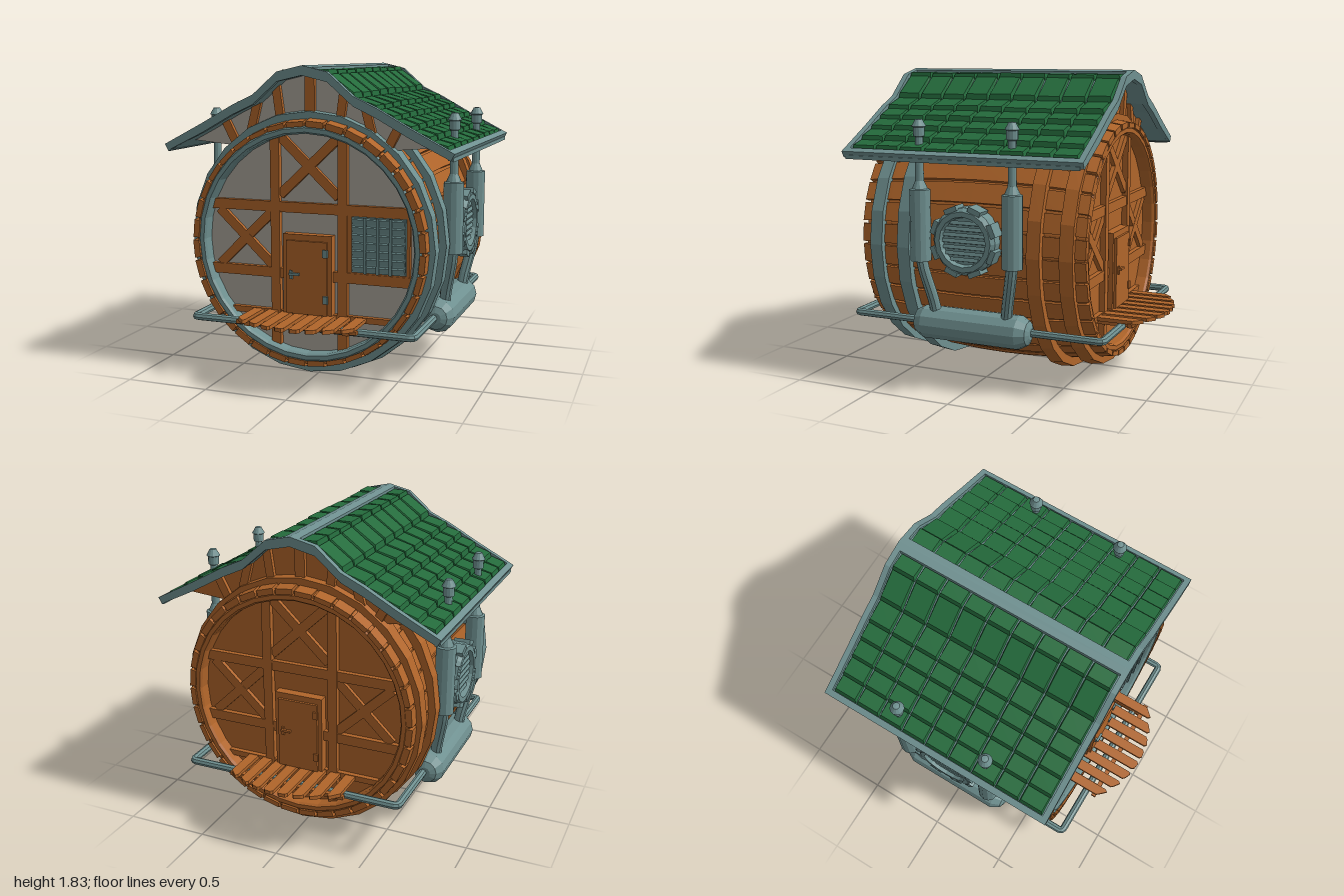
import * as THREE from 'three';

const mat = (color) => new THREE.MeshStandardMaterial({ color, flatShading: true, side: THREE.DoubleSide });
const WOOD = mat(0xb0652a), METAL = mat(0x6f9090), TILE = mat(0x246b3c), PLASTER = mat(0xaaa49a);
const CY = 0.82; // height of the barrel axis

function add(parent, name, geo, material, x = 0, y = 0, z = 0) {
  const g = geo.index ? geo.toNonIndexed() : geo;
  g.computeVertexNormals();
  const m = new THREE.Mesh(g, material);
  m.name = name;
  m.position.set(x, y, z);
  parent.add(m);
  return m;
}
const box = (p, name, m, w, h, d, x, y, z) => add(p, name, new THREE.BoxGeometry(w, h, d), m, x, y, z);

// Move every vertex of a geometry by a rule
function warp(geo, rule) {
  const p = geo.attributes.position;
  for (let i = 0; i < p.count; i++) p.setXYZ(i, ...rule(p.getX(i), p.getY(i), p.getZ(i)));
  return geo;
}
// Bar in the facade plane from one point to another
function beam(p, m, x0, y0, x1, y1, w, z, d, name = 'beam') {
  const b = box(p, name, m, Math.hypot(x1 - x0, y1 - y0), w, d, (x0 + x1) / 2, (y0 + y1) / 2, z);
  b.rotation.z = Math.atan2(y1 - y0, x1 - x0);
}
const lathe = (pts, n) => new THREE.LatheGeometry(pts.map((a) => new THREE.Vector2(...a)), n);

// Bulging barrel: a piece between two angles, two offsets from the surface and two z
function barrelPiece(a0, a1, in_, out, z0, z1, segA, segZ) {
  return warp(new THREE.BoxGeometry(1, 1, 1, segA, 1, segZ), (u, v, w) => {
    const a = a0 + (a1 - a0) * (u + 0.5), z = z0 + (z1 - z0) * (w + 0.5), k = (z / 0.7) ** 2;
    const r = 0.785 - 0.07 * k + (v > 0 ? out : in_);
    return [(0.915 + 0.08 * k) * r * Math.sin(a), CY + r * Math.cos(a), z];
  });
}

function buildBarrel(root) {
  const g = new THREE.Group();
  g.name = 'barrel';
  root.add(g);
  const n = 36, step = (Math.PI * 2) / n;
  add(g, 'barrelLining', barrelPiece(0, Math.PI * 2, -0.035, -0.018, -0.69, 0.69, n, 8), WOOD);
  for (let i = 0; i < n; i++) {
    const j = Math.sin(i * 12.9) * 0.006, a = i * step;
    add(g, 'stave', barrelPiece(a + 0.012, a + step - 0.012, -0.034, j, -0.707 + j, 0.707 + j, 1, 8), WOOD);
  }
  for (const s of [1, -1])
    for (const [c, lift] of [[0.6, 0.036], [0.41, 0.048]])
      add(g, 'hoop', barrelPiece(0, Math.PI * 2, -0.01, lift, s * c - 0.04, s * c + 0.04, 24, 1), s > 0 ? METAL : WOOD);
}

// Roof line, mirrored about x = 0
const LINE = [[0, 1.84], [0.15, 1.805], [0.3, 1.675], [0.43, 1.615], [0.62, 1.51], [0.87, 1.38]];
function roofY(x) {
  let i = 1;
  while (i < LINE.length - 1 && x > LINE[i][0]) i++;
  const [a, b] = [LINE[i - 1], LINE[i]];
  return a[1] + ((x - a[0]) / (b[0] - a[0])) * (b[1] - a[1]);
}
// Solid strip that follows the roof line
function strip(p, name, x0, x1, top, bottom, z0, z1) {
  const xs = [x0, ...LINE.map((q) => q[0]).filter((x) => x > x0 && x < x1), x1];
  const s = new THREE.Shape();
  xs.forEach((x, i) => s[i ? 'lineTo' : 'moveTo'](x, roofY(x) + top));
  xs.reverse().forEach((x) => s.lineTo(x > 0.86 ? x - 0.02 : x, roofY(x) + bottom + (x > 0.86 ? 0.018 : 0)));
  add(p, name, new THREE.ExtrudeGeometry(s, { depth: z1 - z0, bevelEnabled: false }), METAL, 0, 0, z0);
}

function buildRoof(root) {
  const cols = [0.05, 0.15, 0.3, 0.43, 0.53, 0.63, 0.735, 0.832], rows = 9, dz = 1.4 / rows;
  for (const turn of [0, Math.PI]) {
    const g = new THREE.Group();
    g.name = 'roofHalf';
    g.rotation.y = turn;
    root.add(g);
    strip(g, 'roofSlab', 0, 0.86, -0.028, -0.05, -0.72, 0.72);
    strip(g, 'ridgeTrim', 0, 0.045, 0, -0.05, -0.74, 0.74);
    strip(g, 'eaveTrim', 0.835, 0.87, 0, -0.055, -0.74, 0.74);
    for (const z of [-0.74, 0.705]) strip(g, 'bargeTrim', 0, 0.87, 0, -0.055, z, z + 0.035);
    // Shingles: raised along their lower edge, with bevelled sides
    for (let c = 0; c < cols.length - 1; c++)
      for (let r = 0; r < rows; r++) {
        const j = 0.004 * Math.sin(c * 7 + r * 5);
        add(g, 'shingle', warp(new THREE.BoxGeometry(1, 1, 1), (u, v, w) => {
          const up = v > 0, x = u < 0 ? cols[c] : cols[c + 1] - (up ? 0.012 : 0);
          return [x, roofY(x) + (up ? (u < 0 ? -0.012 : 0.008 + j) : -0.04),
            -0.7 + dz * (r + 0.5 + w * (up ? 0.86 : 1))];
        }), TILE);
      }
  }
}

function buildFacade(root, front) {
  const g = new THREE.Group();
  g.name = front ? 'frontFacade' : 'backFacade';
  g.rotation.y = front ? 0 : Math.PI;
  root.add(g);
  const wall = front ? PLASTER : WOOD, metal = front ? METAL : WOOD;

  // Round wall with its rim
  add(g, 'wall', new THREE.CylinderGeometry(0.66, 0.66, 0.04, 32).rotateX(Math.PI / 2), wall, 0, CY, 0.6);
  add(g, 'rim', lathe([[0.69, 0.6], [0.69, 0.685], [0.675, 0.7], [0.65, 0.7], [0.64, 0.685], [0.64, 0.6]], 32)
    .rotateX(Math.PI / 2), metal, 0, CY, 0);

  // Timber frame
  const z = 0.625, d = 0.05;
  for (const s of [-1, 1]) beam(g, WOOD, s * 0.207, 0.2, s * 0.207, 1.44, 0.056, z + 0.005, d);
  for (const [y, x, w] of [[1.03, 0.61, 0.06], [0.64, 0.62, 0.06], [0.4, 0.49, 0.035]]) beam(g, WOOD, -x, y, x, y, w, z, d);
  for (const s of [-1, 1]) {
    beam(g, WOOD, -s * 0.18, 1.1, s * 0.18, 1.44, 0.055, z, d - 0.01, 'brace');
    if (s > 0 && front) continue;
    beam(g, WOOD, s * 0.57, 1.0, s * 0.23, 0.68, 0.055, z, d - 0.01, 'brace');
    beam(g, WOOD, s * 0.23, 1.0, s * 0.57, 0.67, 0.055, z, d - 0.014, 'brace');
  }

  // Door
  box(g, 'doorFrame', WOOD, 0.3, 0.47, 0.07, 0, 0.645, 0.64);
  box(g, 'doorLeaf', WOOD, 0.25, 0.43, 0.03, 0, 0.63, 0.675);
  for (const y of [0.78, 0.51]) box(g, 'hinge', metal, 0.03, 0.045, 0.015, 0.117, y, 0.692);
  box(g, 'handlePlate', metal, 0.018, 0.05, 0.012, -0.093, 0.645, 0.693);
  box(g, 'handle', metal, 0.06, 0.014, 0.015, -0.07, 0.652, 0.705);

  // Shuttered window
  if (front) {
    box(g, 'windowFrame', WOOD, 0.37, 0.4, 0.04, 0.42, 0.845, 0.625);
    box(g, 'windowPanel', METAL, 0.32, 0.32, 0.03, 0.425, 0.84, 0.645);
    for (let i = 0; i < 7; i++) box(g, 'slat', METAL, 0.31, 0.03, 0.015, 0.425, 0.705 + i * 0.045, 0.664).rotation.x = 0.3;
    for (const x of [-0.075, 0, 0.075]) box(g, 'windowBar', METAL, 0.016, 0.32, 0.015, 0.425 + x, 0.84, 0.675);
  }

  // Gable between barrel and roof
  const s = new THREE.Shape();
  const top = [...LINE.slice(0, 5), [0.76, 1.437]].map(([x, y]) => [x, y - 0.04]);
  s.moveTo(...top[5]);
  for (let i = 4; i >= 0; i--) s.lineTo(...top[i]);
  for (let i = 1; i < 6; i++) s.lineTo(-top[i][0], top[i][1]);
  for (let i = -5; i <= 5; i++) s.lineTo(0.72 * Math.sin(i * 0.14), CY + 0.72 * Math.cos(i * 0.14));
  add(g, 'gable', new THREE.ExtrudeGeometry(s, { depth: 0.03, bevelEnabled: false }), wall, 0, 0, 0.57);
  beam(g, WOOD, 0, 1.5, 0, 1.79, 0.06, 0.605, 0.04, 'gablePost');
  for (const k of [-1, 1])
    for (const [x0, y0, x1, y1] of [[0.175, 1.48, 0.21, 1.735], [0.38, 1.42, 0.325, 1.63], [0.44, 1.34, 0.53, 1.515]])
      beam(g, WOOD, k * x0, y0, k * x1, y1, 0.05, 0.605, 0.04, 'gablePost');

  // Porch with rounded outline
  const end = (x) => 1 - x * x;
  for (const c of [-0.32, -0.225, -0.135, -0.045, 0.045, 0.135, 0.225, 0.32]) {
    const a = c - 0.031, b = c + 0.031, p = new THREE.Shape();
    p.moveTo(a, 0.62);
    p.lineTo(b, 0.62);
    p.lineTo(b, end(b) - 0.015);
    p.lineTo(b - 0.012, end(b));
    p.lineTo(a + 0.012, end(a));
    p.lineTo(a, end(a) - 0.015);
    add(g, 'porchPlank', new THREE.ExtrudeGeometry(p, { depth: 0.022, bevelEnabled: false }).rotateX(Math.PI / 2), WOOD, 0, 0.414, 0);
  }
  box(g, 'porchCrossBeam', WOOD, 0.73, 0.022, 0.03, 0, 0.386, 0.85);
  for (const x of [-0.3, 0.3]) box(g, 'porchBracket', WOOD, 0.035, 0.03, 0.26, x, 0.38, 0.73);

  // Rail that runs out of one tank and into the other
  const path = new THREE.CurvePath(), V = (x, zz) => new THREE.Vector3(x, 0.37, zz);
  path.add(new THREE.LineCurve3(V(-0.67, 0.34), V(-0.67, 0.765)));
  path.add(new THREE.QuadraticBezierCurve3(V(-0.67, 0.765), V(-0.67, 0.79), V(-0.645, 0.79)));
  path.add(new THREE.LineCurve3(V(-0.645, 0.79), V(0.645, 0.79)));
  path.add(new THREE.QuadraticBezierCurve3(V(0.645, 0.79), V(0.67, 0.79), V(0.67, 0.765)));
  path.add(new THREE.LineCurve3(V(0.67, 0.765), V(0.67, 0.34)));
  add(g, 'rail', new THREE.TubeGeometry(path, 150, 0.023, 8), METAL);
}

function buildSide(root, turn) {
  const g = new THREE.Group();
  g.name = 'sideFittings';
  g.rotation.y = turn;
  root.add(g);

  // Tank
  add(g, 'tank', lathe([[0, -0.37], [0.035, -0.37], [0.07, -0.355], [0.1, -0.3], [0.1, 0.3], [0.07, 0.355], [0.035, 0.37], [0, 0.37]], 12)
    .rotateX(Math.PI / 2), METAL, 0.68, 0.37, 0);

  // Chimneys and the pipes that feed them
  for (const s of [-1, 1]) {
    add(g, 'chimney', lathe([[0, 0.755], [0.06, 0.755], [0.06, 1.17], [0.045, 1.175], [0.025, 1.22], [0.022, 1.47], [0.033, 1.475],
      [0.033, 1.525], [0.042, 1.53], [0.02, 1.57], [0, 1.572]], 12), METAL, 0.76, 0, s * 0.29);
    const pipe = new THREE.CatmullRomCurve3([new THREE.Vector3(0.76, 0.8, s * 0.29), new THREE.Vector3(0.755, 0.72, s * 0.28),
      new THREE.Vector3(0.71, 0.5, s * 0.235), new THREE.Vector3(0.7, 0.42, s * 0.225)]);
    add(g, 'feedPipe', new THREE.TubeGeometry(pipe, 8, 0.034, 10), METAL);
  }

  // Round shuttered window
  const w = new THREE.Group();
  w.name = 'roundWindow';
  w.position.set(0.69, 0.89, 0);
  g.add(w);
  add(w, 'windowRing', lathe([[0.195, 0], [0.195, 0.09], [0.175, 0.115], [0.145, 0.115], [0.135, 0.07]], 16).rotateZ(-Math.PI / 2), METAL);
  add(w, 'windowPane', new THREE.CylinderGeometry(0.145, 0.145, 0.08, 16).rotateZ(-Math.PI / 2), METAL, 0.04);
  for (let i = -3; i <= 3; i++)
    box(w, 'slat', METAL, 0.015, 0.022, 2 * Math.sqrt(0.0185 - (i * 0.035) ** 2), 0.085, i * 0.035, 0).rotation.z = 0.3;
  for (let i = 0; i < 8; i++) {
    const a = ((i + 0.5) * Math.PI) / 4;
    box(w, 'ringClamp', METAL, 0.1, 0.03, 0.08, 0.065, 0.192 * Math.cos(a), 0.192 * Math.sin(a)).rotation.x = a;
  }
}

export function createModel() {
  const root = new THREE.Group();
  root.name = 'barrelHouse';
  buildBarrel(root);
  buildRoof(root);
  for (const front of [true, false]) buildFacade(root, front);
  for (const turn of [0, Math.PI]) buildSide(root, turn);
  return root;
}
